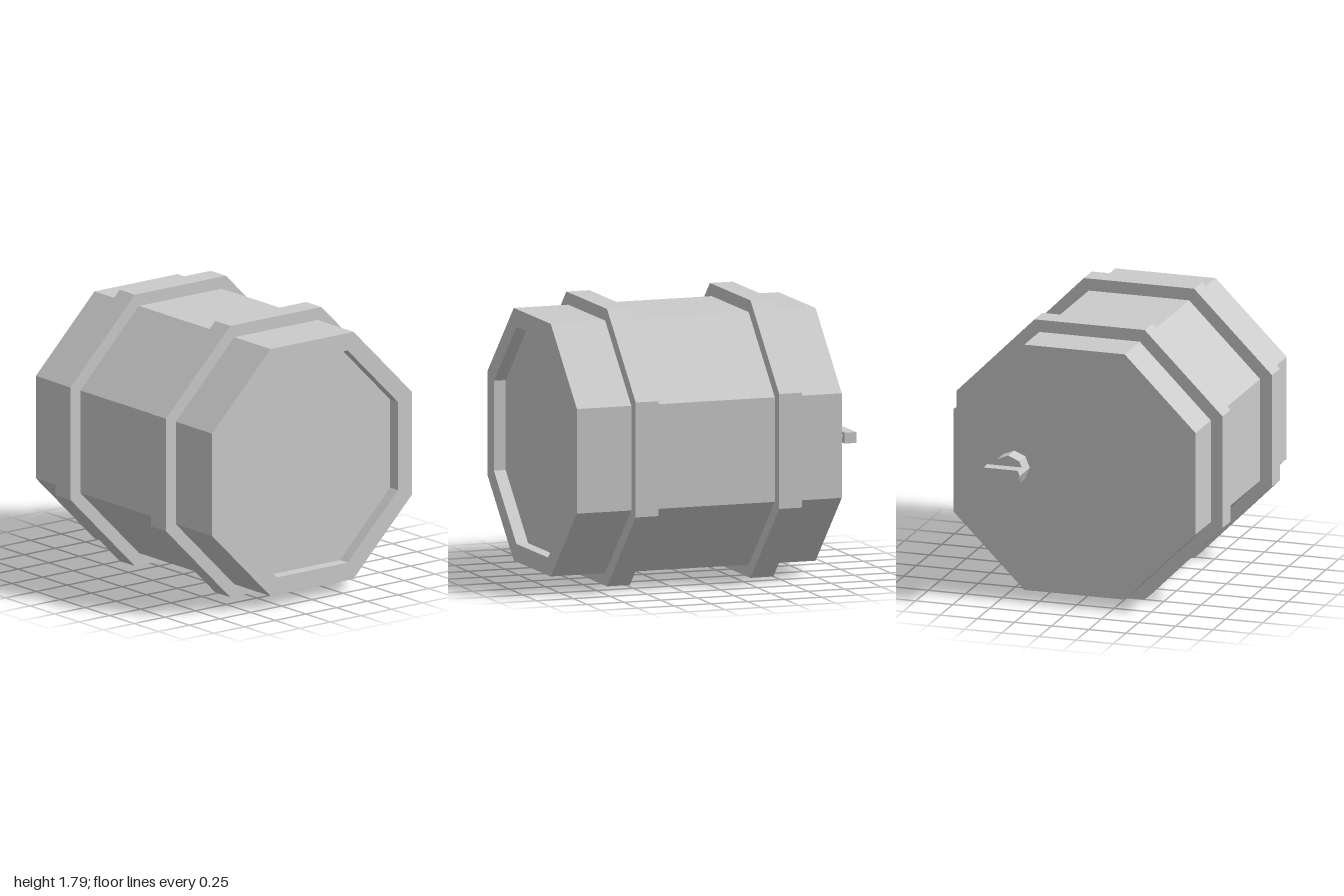
import * as THREE from 'three';

const CENTER_Y = 0.895;
const SIDES = 8;
const material = new THREE.MeshStandardMaterial({ color: 0xcccccc, flatShading: true });

// Octagonal solid along z from [apothem, z] pairs, with flat sides up, down, left and right.
function octagon(name, profile) {
  const k = 1 / Math.cos(Math.PI / SIDES);
  const points = profile.map(([a, z]) => new THREE.Vector2(a * k, z));
  const geometry = new THREE.LatheGeometry(points, SIDES, Math.PI / SIDES);
  geometry.rotateX(Math.PI / 2);
  const mesh = new THREE.Mesh(geometry, material);
  mesh.name = name;
  mesh.position.y = CENTER_Y;
  return mesh;
}

export function createModel() {
  const group = new THREE.Group();
  group.name = 'barrel';

  // Barrel body with a recessed front lid
  group.add(octagon('body', [
    [0, -0.8], [0.815, -0.8], [0.815, 1], [0.7, 1], [0.7, 0.92], [0, 0.92],
  ]));

  // Two raised hoops
  for (const [name, back, front] of [['frontHoop', 0.475, 0.63], ['backHoop', -0.5, -0.345]]) {
    group.add(octagon(name, [[0.815, back], [0.895, back], [0.895, front], [0.815, front]]));
  }

  // Tap on the back: octagonal stem with a corner pointing up
  const tap = new THREE.Group();
  tap.name = 'tap';
  tap.position.set(0.405, CENTER_Y, 0);
  const stemGeometry = new THREE.CylinderGeometry(0.105, 0.105, 0.12, SIDES);
  stemGeometry.rotateX(Math.PI / 2);
  const stem = new THREE.Mesh(stemGeometry, material);
  stem.name = 'tapStem';
  stem.position.z = -0.86;
  tap.add(stem);

  // Tap handle: a bar whose inner end follows the corner of the stem
  const outline = new THREE.Shape([
    [-0.105, 0], [-0.09, -0.035], [0.14, -0.035], [0.14, 0.035], [-0.09, 0.035],
  ].map(([x, y]) => new THREE.Vector2(x, y)));
  const handle = new THREE.Mesh(
    new THREE.ExtrudeGeometry(outline, { depth: 0.08, bevelEnabled: false }), material);
  handle.name = 'tapHandle';
  handle.position.z = -1;
  tap.add(handle);
  group.add(tap);

  return group;
}
